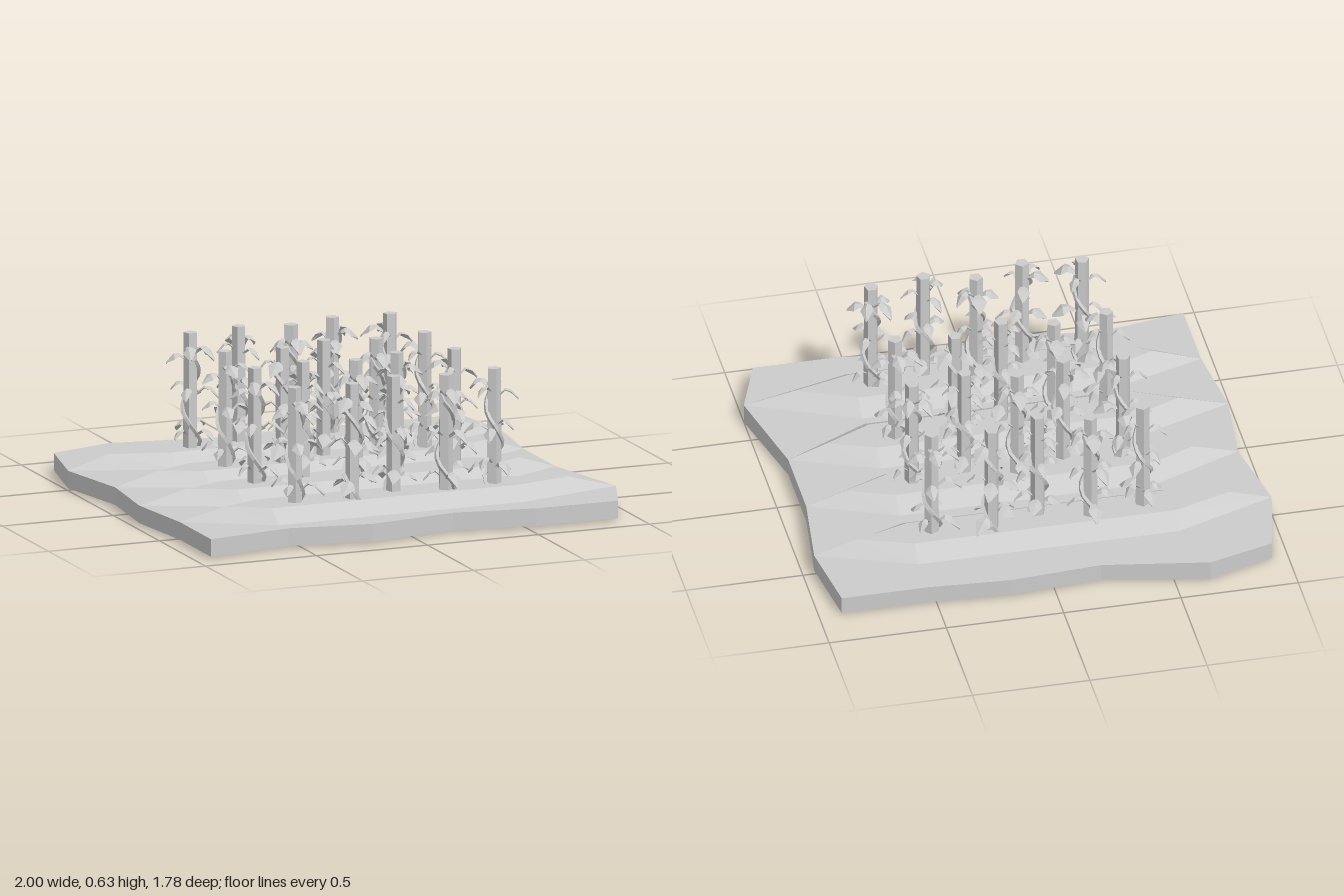
import * as THREE from 'three';

const GROUND_Y = 0.085, RIDGE_Y = 0.14;
const mat = new THREE.MeshStandardMaterial({ color: 0xcccccc, flatShading: true, side: THREE.DoubleSide });

// Each bed: left tip, right tip, outer z range, crest tips, crest z range
const beds = [
  { l: [-1, -0.49], r: [0.95, -0.49], out: [-0.645, -0.34], cl: [-0.82, -0.49], cr: [0.77, -0.49], crest: [-0.57, -0.42] },
  { l: [-0.935, -0.135], r: [0.905, -0.135], out: [-0.285, 0.02], cl: [-0.74, -0.135], cr: [0.74, -0.135], crest: [-0.21, -0.055] },
  { l: [-0.97, 0.21], r: [0.905, 0.21], out: [0.065, 0.395], cl: [-0.76, 0.22], cr: [0.74, 0.215], crest: [0.14, 0.31] },
  { l: [-0.93, 0.55], r: [1, 0.635], out: [0.435, 0.76], cl: [-0.73, 0.575], cr: [0.79, 0.615], crest: [0.51, 0.68] },
];
const backEdge = [[-0.93, -0.815], [-0.65, -0.895], [-0.2, -0.815], [0.19, -0.84], [0.54, -0.815], [0.905, -0.815]];
const frontEdge = [[-0.93, 0.89], [-0.555, 0.83], [-0.2, 0.89], [0.185, 0.83], [0.54, 0.89], [0.905, 0.89]];

function meshOf(name, geometry) {
  const m = new THREE.Mesh(geometry, mat);
  m.name = name;
  return m;
}

// Flat horizontal polygon from [x, z] points
function flatPolygon(name, pts, y) {
  const shape = new THREE.Shape(pts.map(([x, z]) => new THREE.Vector2(x, -z)));
  return meshOf(name, new THREE.ShapeGeometry(shape).rotateX(-Math.PI / 2).translate(0, y, 0));
}

// Closed band of quads between two loops of equal length
function band(name, upper, lower) {
  const pos = [];
  const n = upper.length;
  for (let i = 0; i < n; i++) {
    const j = (i + 1) % n;
    pos.push(...upper[i], ...lower[i], ...lower[j], ...upper[i], ...lower[j], ...upper[j]);
  }
  const g = new THREE.BufferGeometry();
  g.setAttribute('position', new THREE.Float32BufferAttribute(pos, 3));
  g.computeVertexNormals();
  return meshOf(name, g);
}

function createGround() {
  const ground = new THREE.Group();
  ground.name = 'ground';
  const at = (pts, y) => pts.map(([x, z]) => [x, y, z]);

  // Raised planting ridges, listed counterclockwise from above
  for (const b of beds) {
    const hex = (l, r, [z0, z1]) => [l, [-0.57, z1], [0.54, z1], r, [0.54, z0], [-0.57, z0]];
    const outer = hex(b.l, b.r, b.out), crest = hex(b.cl, b.cr, b.crest);
    ground.add(band('ridgeSlopes', at(crest, RIDGE_Y), at(outer, GROUND_Y)));
    ground.add(flatPolygon('ridgeCrest', crest, RIDGE_Y));
  }

  // Level soil between the ridges
  for (let i = 0; i <= beds.length; i++) {
    const a = beds[i - 1], b = beds[i];
    const upper = a ? [a.l, [-0.57, a.out[1]], [0.54, a.out[1]], a.r] : backEdge;
    const lower = b ? [b.l, [-0.57, b.out[0]], [0.54, b.out[0]], b.r] : frontEdge;
    ground.add(flatPolygon('furrow', [...lower, ...[...upper].reverse()], GROUND_Y));
  }

  // Rim around the plot, open underneath
  const rim = [
    ...beds.map(b => b.l), ...frontEdge, ...beds.map(b => b.r).reverse(), ...[...backEdge].reverse(),
  ];
  const bottom = rim.map(([x, z]) => [x, x === 1 || x === -0.65 ? 0 : 0.01, z]);
  ground.add(band('rim', at(rim, GROUND_Y), bottom));
  return ground;
}

// Folded, drooping leaf growing along +z from narrow, wide and pointed sections
function leafGeometry() {
  const sections = [[0.02, -0.02, 0.008], [0.055, 0.012, 0.018], [0.08, 0.008, 0.032], [0.118, -0.035, 0.006]];
  const pos = [], index = [];
  sections.forEach(([z, y, w], s) => {
    pos.push(-w, y - w * 0.5, z, 0, y, z, w, y - w * 0.5, z, 0, y - 0.012, z);
    if (s === 0) return;
    for (let k = 0; k < 4; k++) {
      const a = (s - 1) * 4 + k, b = (s - 1) * 4 + (k + 1) % 4;
      index.push(a, a + 4, b, b, a + 4, b + 4);
    }
  });
  const g = new THREE.BufferGeometry();
  g.setAttribute('position', new THREE.Float32BufferAttribute(pos, 3));
  g.setIndex(index);
  g.computeVertexNormals();
  return g;
}

// Vine coiling up the stake
function vineGeometry() {
  const pts = [];
  for (let i = 0; i <= 10; i++) {
    const t = i / 10, a = t * Math.PI * 3;
    const r = 0.036 + 0.006 * Math.sin(i * 2.3);
    pts.push(new THREE.Vector3(Math.cos(a) * r, 0.12 + t * 0.45, Math.sin(a) * r));
  }
  return new THREE.TubeGeometry(new THREE.CatmullRomCurve3(pts), 18, 0.01, 4);
}

function createPlant(geo) {
  const plant = new THREE.Group();
  plant.name = 'plant';
  plant.add(meshOf('stake', geo.stake), meshOf('vine', geo.vine));
  // Leaf tiers: height, then heading of each leaf
  const tiers = [[0.23, [0.1, 1.5, 2.8, 4.4]], [0.39, [0.5, 1.9, 3.3, 5.0]], [0.55, [0, 1.3, 3.8, 5.2]]];
  tiers.forEach(([y, headings], t) => headings.forEach((a, i) => {
    const leaf = meshOf('leaf', geo.leaf);
    leaf.position.y = y + ((i * 2 + t) % 3 - 1) * 0.018;
    leaf.rotation.set(0, a, (i % 2 ? 0.3 : -0.25));
    leaf.scale.setScalar(a < 0.6 ? 1.05 : 0.8 + 0.07 * ((i + t) % 3));
    plant.add(leaf);
  }));
  return plant;
}

export function createModel() {
  const model = new THREE.Group();
  model.name = 'cropPlot';
  model.add(createGround());

  const geo = {
    stake: new THREE.CylinderGeometry(0.03, 0.032, 0.515, 5).translate(0, 0.3725, 0),
    vine: vineGeometry(),
    leaf: leafGeometry(),
  };
  // Plants of one row: x, z offset, heading; every other row is turned around
  const spots = [[-0.45, 0.005, 0.6], [-0.22, -0.025, Math.PI], [-0.01, 0.03, 0], [0.2, -0.03, 2.4], [0.45, 0, 4.2]];
  [[0, -0.49], [0, -0.115], [0, 0.21], [0.015, 0.605]].forEach(([x, z], r) => {
    const row = new THREE.Group();
    row.name = 'plantRow';
    for (const [px, pz, heading] of spots) {
      const plant = createPlant(geo);
      plant.position.set(px, 0, pz);
      plant.rotation.y = heading;
      row.add(plant);
    }
    row.position.set(x, 0, z);
    row.rotation.y = r % 2 ? Math.PI : 0;
    model.add(row);
  });
  return model;
}
